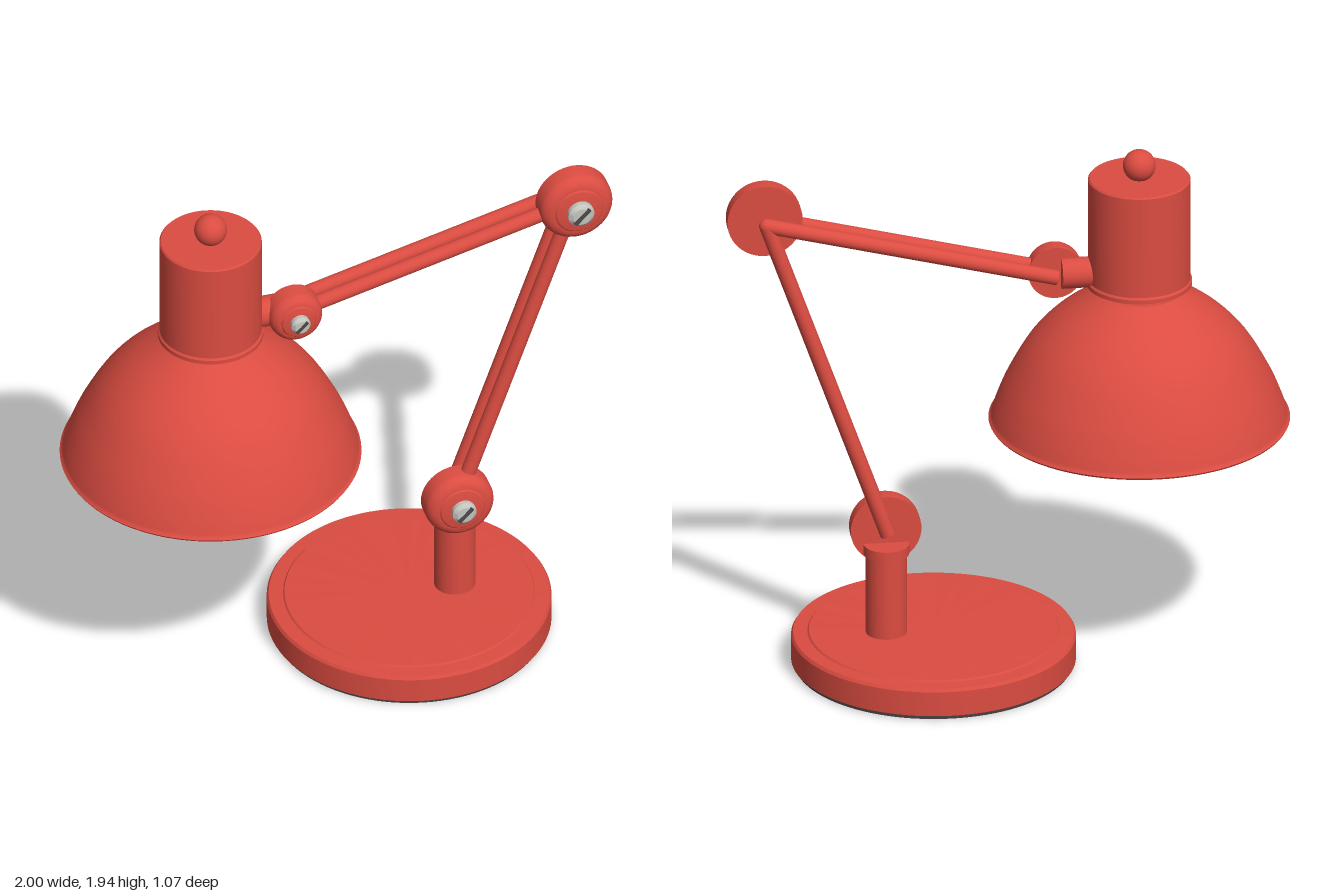
import * as THREE from 'three';
import { toCreasedNormals } from 'three/addons/utils/BufferGeometryUtils.js';

export function createModel() {
  const lamp = new THREE.Group();
  lamp.name = 'deskLamp';

  const paint = (name, color) => {
    const m = new THREE.MeshStandardMaterial({ color });
    m.name = name;
    return m;
  };
  const red = paint('red enamel', 0xdb4c41);
  const gold = paint('gold lining', 0xdcc478);
  const white = paint('bulb white', 0xd9d7d3);
  const steel = paint('steel', 0xc4c4be);
  const slotGrey = paint('slot grey', 0x4c4848);
  const felt = paint('base felt', 0x4a3f40);

  const add = (name, geometry, material, x = 0, y = 0, z = 0, parent = lamp) => {
    const mesh = new THREE.Mesh(geometry, material);
    mesh.name = name;
    mesh.position.set(x, y, z);
    parent.add(mesh);
    return mesh;
  };
  // turned shape with crisp edges; profile runs [radius, height]
  const turned = (profile, segments = 64) => toCreasedNormals(
    new THREE.LatheGeometry(profile.map(([r, y]) => new THREE.Vector2(r, y)), segments), 0.5);

  // weighted base with raised top panel and felt underside
  const baseX = 0.265;
  add('base', turned([[0, 0.01], [0.49, 0.01], [0.503, 0.016], [0.503, 0.108], [0.496, 0.119],
    [0.445, 0.121], [0.44, 0.127], [0, 0.127]], 96), red, baseX);
  add('baseFelt', new THREE.CylinderGeometry(0.492, 0.492, 0.012, 96), felt, baseX, 0.006);

  // post with collar
  const shoulder = new THREE.Vector3(0.433, 0.519, 0);
  const elbow = new THREE.Vector3(0.864, 1.74, 0);
  const wrist = new THREE.Vector3(-0.171, 1.478, 0);
  add('post', turned([[0.073, 0.12], [0.073, 0.43], [0.081, 0.43], [0.081, 0.468], [0, 0.468]], 40), red, shoulder.x);

  // paired arm rods, one on each side of the middle plane
  const rod = (name, a, b, z) => {
    const dir = b.clone().sub(a);
    const mesh = add(name, new THREE.CylinderGeometry(0.027, 0.027, dir.length(), 24), red);
    mesh.position.copy(a).add(b).multiplyScalar(0.5).setZ(z);
    mesh.quaternion.setFromUnitVectors(new THREE.Vector3(0, 1, 0), dir.normalize());
  };
  for (const [side, z] of [['front', 0.035], ['rear', -0.036]]) {
    rod(side + 'LowerRod', shoulder, elbow, z);
    rod(side + 'UpperRod', wrist, elbow, z);
    add(side + 'ElbowEnd', new THREE.SphereGeometry(0.027, 24, 16), red, elbow.x, elbow.y, z);
  }

  // joint knob: rounded cap, screw and screw slot, all facing forward
  const joint = (name, at, R, s) => {
    const group = new THREE.Group();
    group.name = name;
    group.position.copy(at);
    lamp.add(group);
    const profile = [[0, 0.005], [R, 0.005]];
    for (let i = 0; i <= 8; i++) {
      const t = (i / 8) * Math.PI / 2;
      profile.push([R * (0.66 + 0.34 * Math.cos(t)), 0.05 + 0.045 * Math.sin(t)]);
    }
    profile.push([R * 0.62, 0.1], [R * 0.3, 0.107], [0, 0.108]);
    add('knob', turned(profile, 48).rotateX(Math.PI / 2), red, 0, 0, 0, group);
    add('screw', turned([[s, 0.09], [s, 0.122], [s * 0.7, 0.134], [0, 0.136]], 32)
      .rotateX(Math.PI / 2), steel, 0, 0, 0, group);
    add('screwSlot', new THREE.BoxGeometry(s * 1.6, s * 0.32, 0.008), slotGrey, 0, 0, 0.134, group)
      .rotation.z = Math.PI / 4;
  };
  joint('shoulderJoint', shoulder, 0.126, 0.044);
  joint('elbowJoint', elbow, 0.134, 0.048);
  joint('wristJoint', wrist, 0.097, 0.035);

  // lamp head: socket housing, finial ball and connector to the wrist
  const headX = -0.468;
  add('housing', turned([[0, 1.425], [0.187, 1.425], [0.187, 1.44], [0.181, 1.447], [0.181, 1.828],
    [0.176, 1.834], [0, 1.834]]), red, headX);
  add('finial', new THREE.SphereGeometry(0.058, 32, 24), red, headX, 1.88);
  add('headConnector', new THREE.CylinderGeometry(0.055, 0.055, 0.14, 32).rotateZ(Math.PI / 2), red, -0.26, 1.478);

  // shade: smooth bell, rolled rim and separate lining
  const bell = new THREE.SplineCurve([[0.525, 0.915], [0.505, 0.975], [0.464, 1.07], [0.388, 1.2],
    [0.29, 1.304], [0.155, 1.4]].map(([r, y]) => new THREE.Vector2(r, y)))
    .getPoints(24).map(p => [p.x, p.y]);
  add('shade', turned([[0.51, 0.905], [0.515, 0.9], [0.529, 0.9], [0.533, 0.907], ...bell, [0, 1.4]], 96), red, headX);
  const lining = bell.map(([r, y]) => [r - 0.014, y - 0.01]).reverse();
  add('shadeLining', turned([[0, 1.39], ...lining], 96), gold, headX);

  // bulb with neck
  add('bulb', new THREE.SphereGeometry(0.145, 40, 28), white, headX, 1.018);
  add('bulbNeck', new THREE.CylinderGeometry(0.07, 0.075, 0.26, 32), white, headX, 1.26);

  return lamp;
}
